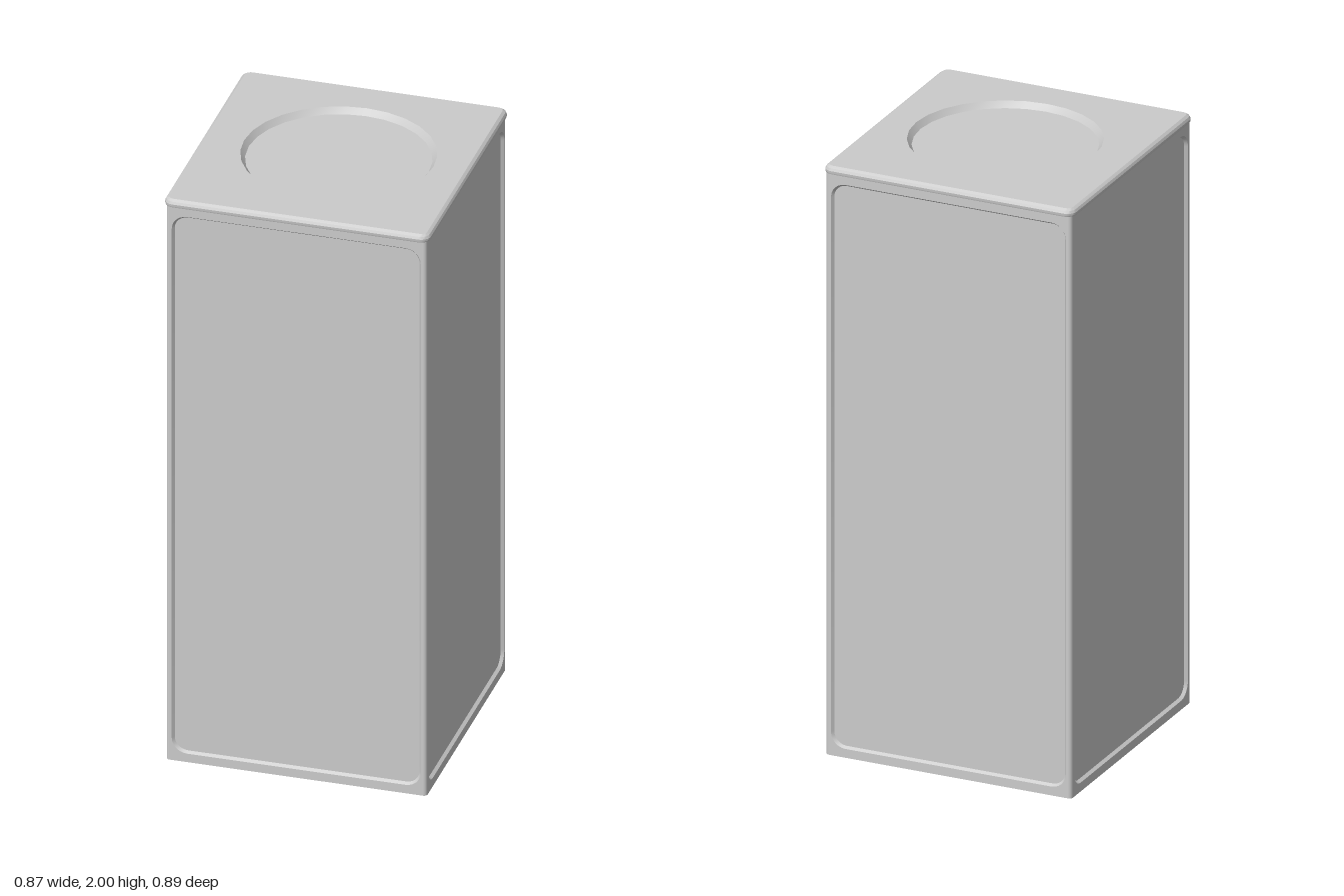
import * as THREE from 'three';
import { toCreasedNormals } from 'three/addons/utils/BufferGeometryUtils.js';

const material = new THREE.MeshStandardMaterial({ color: 0xcccccc, side: THREE.DoubleSide });

// Counter-clockwise outline of a rounded rectangle, given half sizes
function roundedRect(hw, hh, r, n = 5, cy = 0) {
  const points = [];
  for (let q = 0; q < 4; q++) {
    const sx = q === 0 || q === 3 ? 1 : -1;
    const sy = q < 2 ? 1 : -1;
    for (let i = 0; i <= n; i++) {
      const a = (q + i / n) * Math.PI / 2;
      points.push(new THREE.Vector2(sx * (hw - r) + r * Math.cos(a), cy + sy * (hh - r) + r * Math.sin(a)));
    }
  }
  return points;
}

function circle(r, cx, n = 28) {
  return Array.from({ length: n }, (_, i) => {
    const a = i / n * Math.PI * 2;
    return new THREE.Vector2(cx + r * Math.cos(a), r * Math.sin(a));
  });
}

// Skin between closed outlines, each at its own z
function loft(loops) {
  const n = loops[0].points.length;
  const position = [], index = [];
  loops.forEach(({ points, z }) => points.forEach(p => position.push(p.x, p.y, z)));
  for (let i = 0; i < loops.length - 1; i++) {
    for (let j = 0; j < n; j++) {
      const k = (j + 1) % n;
      const a = i * n + j, b = i * n + k, c = a + n, d = b + n;
      index.push(a, b, d, a, d, c);
    }
  }
  const geometry = new THREE.BufferGeometry();
  geometry.setAttribute('position', new THREE.Float32BufferAttribute(position, 3));
  geometry.setIndex(index);
  return toCreasedNormals(geometry, 0.45);
}

// Flat face at height z, with an optional hole
function flat(outline, z, hole) {
  const shape = new THREE.Shape(outline);
  if (hole) shape.holes.push(new THREE.Path(hole));
  return new THREE.ShapeGeometry(shape).translate(0, 0, z);
}

function add(parent, name, geometry) {
  const mesh = new THREE.Mesh(geometry, material);
  mesh.name = name;
  parent.add(mesh);
  return mesh;
}

const HX = 0.426, HZ = 0.436, BODY_TOP = 1.975, CORNER = 0.012;

// One side: flat frame, bevelled step and recessed panel
function createWall(name, half) {
  const wall = new THREE.Group();
  wall.name = name;
  const depth = 0.01, bevel = 0.007;
  const w = half - CORNER;
  const outline = [[-w, 0], [w, 0], [w, BODY_TOP], [-w, BODY_TOP]].map(p => new THREE.Vector2(...p));
  const rim = roundedRect(half - 0.019, 0.957, 0.05, 6, 0.987);
  const floor = roundedRect(half - 0.019 - bevel, 0.957 - bevel, 0.05 - bevel, 6, 0.987);
  add(wall, 'frame', flat(outline, 0, rim));
  add(wall, 'panelBevel', loft([{ points: rim, z: 0 }, { points: floor, z: -depth }]));
  add(wall, 'panel', flat(floor, -depth));
  return wall;
}

export function createModel() {
  const model = new THREE.Group();
  model.name = 'squareCanister';

  // Body: four walls, open underneath
  const body = new THREE.Group();
  body.name = 'body';
  model.add(body);
  ['frontWall', 'leftWall', 'backWall', 'rightWall'].forEach((name, i) => {
    const wall = createWall(name, i % 2 ? HZ : HX);
    const a = i * Math.PI / 2;
    wall.position.set(Math.sin(a) * HX, 0, Math.cos(a) * HZ);
    wall.rotation.y = a;
    body.add(wall);
  });

  // Rounded upright edges
  [[1, 1], [1, -1], [-1, -1], [-1, 1]].forEach(([sx, sz], i) => {
    const edge = new THREE.CylinderGeometry(CORNER, CORNER, BODY_TOP, 4, 1, true, i * Math.PI / 2, Math.PI / 2);
    add(body, 'cornerEdge', edge)
      .position.set(sx * (HX - CORNER), BODY_TOP / 2, sz * (HZ - CORNER));
  });

  // Lid: overhanging rounded rim with a round dished recess
  const lid = new THREE.Group();
  lid.name = 'lid';
  lid.rotation.x = -Math.PI / 2;
  model.add(lid);
  const profile = [[0.012, 1.973], [0.002, 1.975], [0, 1.98], [0, 1.986], [0.004, 1.994], [0.013, 2]];
  const loops = profile.map(([inset, z]) => ({
    points: roundedRect(0.434 - inset, 0.445 - inset, 0.032 - inset, 5), z
  }));
  const rim = circle(0.309, 0.009), floor = circle(0.294, 0.009);
  add(lid, 'lidRim', loft(loops));
  add(lid, 'lidTop', flat(loops.at(-1).points, 2, rim));
  add(lid, 'recessWall', loft([{ points: rim, z: 2 }, { points: floor, z: 1.98 }]));
  add(lid, 'recessFloor', flat(floor, 1.98));

  return model;
}
